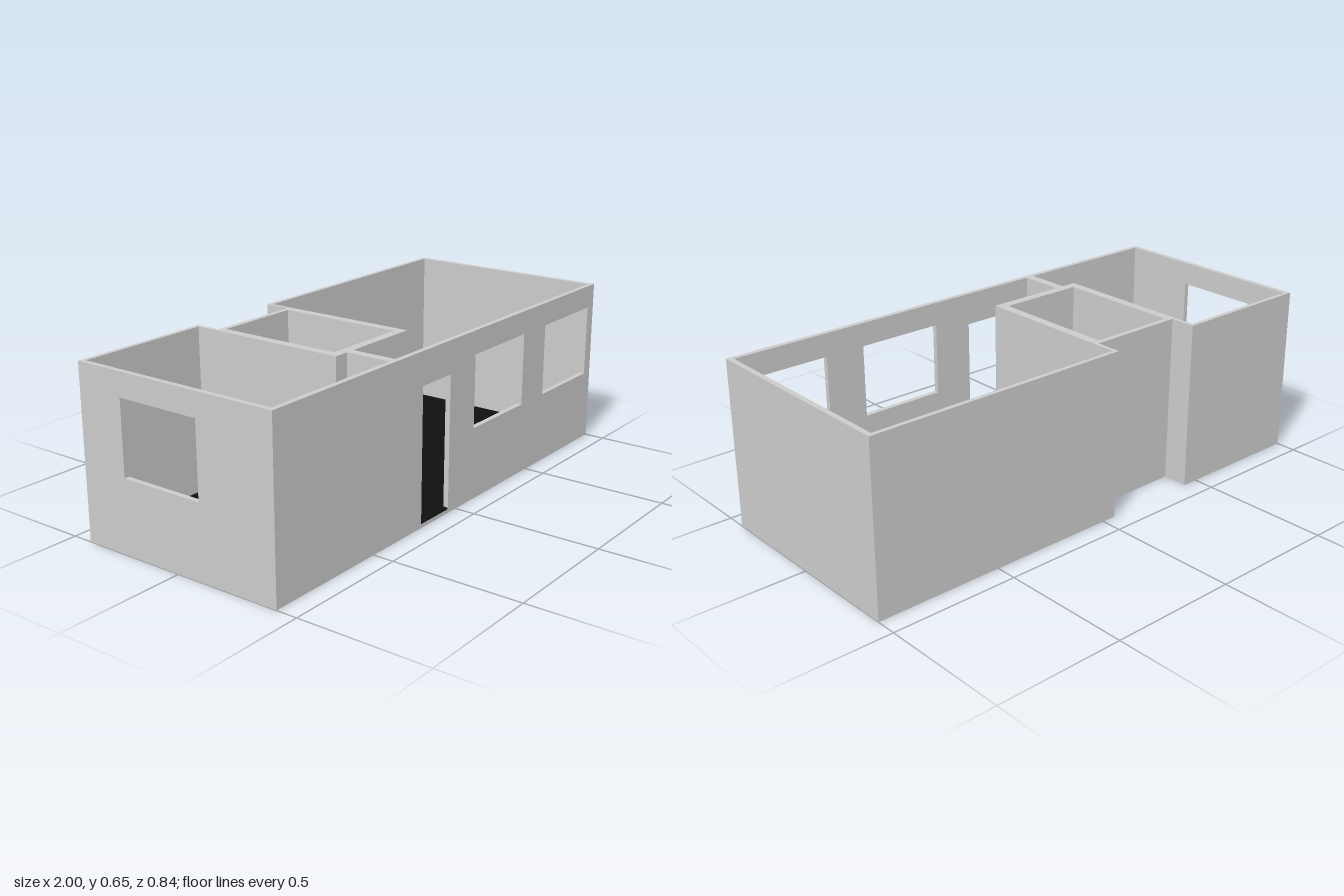
import * as THREE from 'three';

const HEIGHT = 0.65;
const DOOR_TOP = 0.525;
const SILL = 0.28, LINTEL = 0.56;

export function createModel() {
  const house = new THREE.Group();
  house.name = 'house';
  const grey = new THREE.MeshStandardMaterial({ color: 0xcccccc });
  const black = new THREE.MeshStandardMaterial({ color: 0x101010 });

  const add = (name, geometry, material = grey) => {
    const mesh = new THREE.Mesh(geometry, material);
    mesh.name = name;
    house.add(mesh);
  };

  // Rectangle path, used for wall outlines and openings
  const rect = (path, x0, y0, x1, y1) =>
    path.moveTo(x0, y0).lineTo(x1, y0).lineTo(x1, y1).lineTo(x0, y1).closePath();

  // Upright wall panel with openings [from, bottom, to, top]
  const panel = (from, to, thickness, openings) => {
    const shape = new THREE.Shape();
    rect(shape, from, 0, to, HEIGHT);
    for (const o of openings) shape.holes.push(rect(new THREE.Path(), ...o));
    return new THREE.ExtrudeGeometry(shape, { depth: thickness, bevelEnabled: false });
  };

  // Wall running along x, between z0 and z1
  const wallX = (name, x0, x1, z0, z1, openings = []) =>
    add(name, panel(x0, x1, z1 - z0, openings).translate(0, 0, z0));

  // Wall running along z, between x0 and x1; openings are given in z
  const wallZ = (name, x0, x1, z0, z1, openings = []) => {
    const turned = openings.map(([a, bottom, b, top]) => [-b, bottom, -a, top]);
    add(name, panel(-z1, -z0, x1 - x0, turned).rotateY(Math.PI / 2).translate(x0, 0, 0));
  };

  // Horizontal slab following the recessed footprint
  const slab = (y0, y1, inset) => {
    const i = inset;
    const points = [
      [-1 + i, -0.42 + i], [1 - i, -0.42 + i], [1 - i, 0.42 - i], [-1 + i, 0.42 - i],
    ];
    // plan is drawn with z flipped so that the recess lies at the back
    const outline = [
      points[3], points[2], points[1],
      [-0.055 + i, -0.42 + i], [-0.055 + i, -0.32 + i],
      [-0.435 - i, -0.32 + i], [-0.435 - i, -0.42 + i], points[0],
    ].map(([x, z]) => new THREE.Vector2(x, -z));
    return new THREE.ExtrudeGeometry(new THREE.Shape(outline), { depth: y1 - y0, bevelEnabled: false })
      .rotateX(-Math.PI / 2).translate(0, y0, 0);
  };

  // Base and dark floor
  add('base', slab(0, 0.012, 0));
  add('floor', slab(0.012, 0.02, 0.001), black);

  // Front wall with the entrance and two windows
  wallX('frontWall', -1, 1, 0.4, 0.42, [
    [-0.22, 0.014, -0.05, DOOR_TOP],
    [0.11, SILL, 0.45, LINTEL],
    [0.61, SILL, 0.955, LINTEL],
  ]);

  // End walls, one with a window
  wallZ('leftWall', 0.98, 1, -0.42, 0.42);
  wallZ('rightWall', -1, -0.98, -0.42, 0.42, [[-0.23, SILL, 0.105, LINTEL]]);

  // Back walls on each side of the recess
  wallX('backWallRight', -1, -0.435, -0.42, -0.403);
  wallX('backWallLeft', -0.055, 1, -0.42, -0.403);
  wallZ('recessWallRight', -0.45, -0.435, -0.42, -0.32);
  wallZ('recessWallLeft', -0.055, -0.04, -0.42, -0.32);

  // Small middle room
  wallX('middleRoomBackWall', -0.45, -0.04, -0.32, -0.3);
  wallZ('middleRoomRightWall', -0.45, -0.415, -0.32, 0.225);
  wallZ('middleRoomLeftWall', -0.075, -0.04, -0.32, 0.225);
  wallX('middleRoomFrontWall', -0.45, -0.04, 0.19, 0.225, [[-0.29, 0.014, -0.12, DOOR_TOP]]);

  // Short hallway partition with its doorway
  wallZ('hallPartition', -0.39, -0.355, 0.225, 0.4, [[0.23, 0.014, 0.39, DOOR_TOP]]);

  return house;
}
